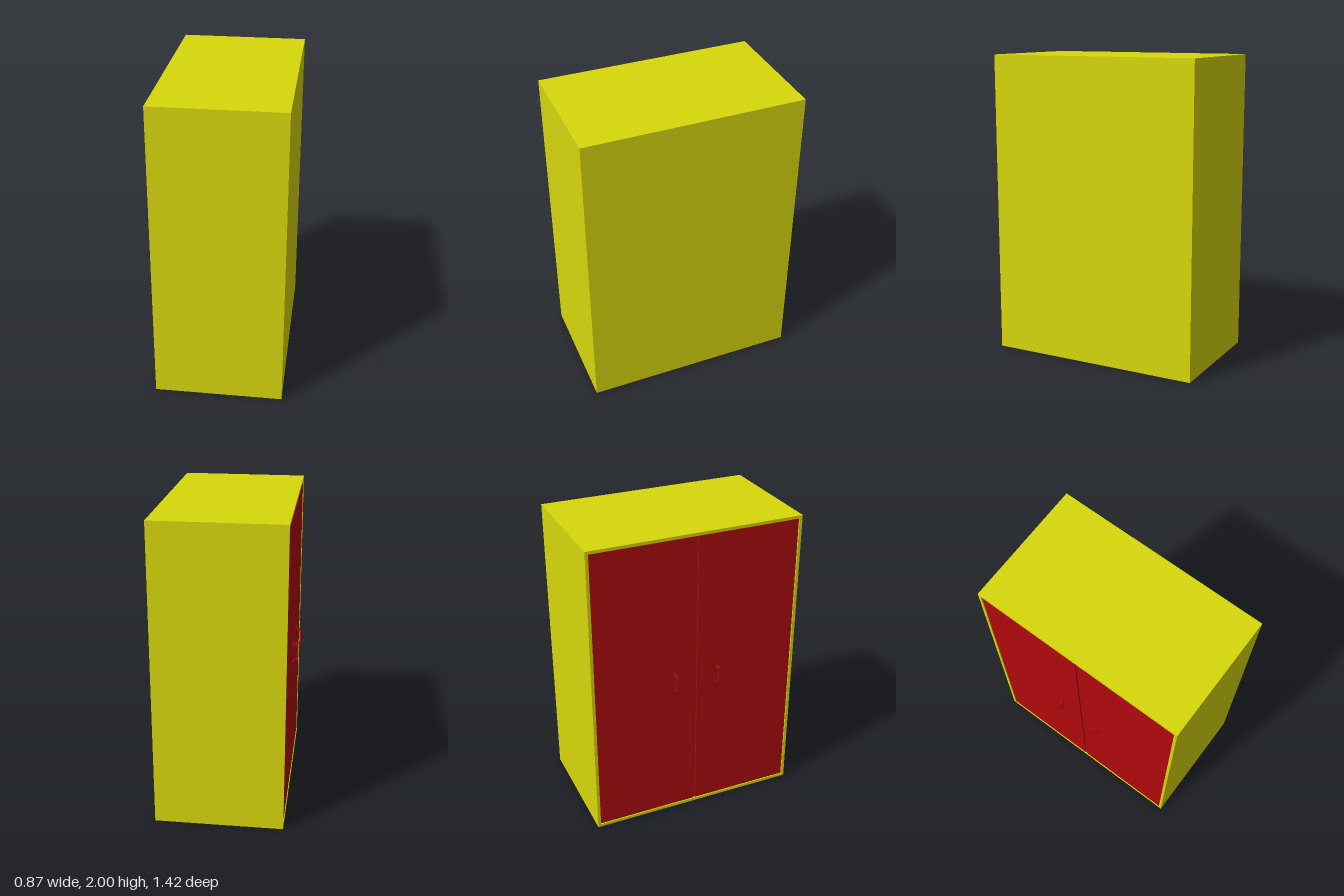
import * as THREE from 'three';

const yellow = new THREE.MeshStandardMaterial({ color: 0xd8d80c });
const red = new THREE.MeshStandardMaterial({ color: 0xb00a0e });

const X0 = -0.4, X1 = 0.436, H = 2, HALF = 0.712, T = 0.02;

// Box given by its min and max corners
function box(name, material, [x0, y0, z0], [x1, y1, z1]) {
  const mesh = new THREE.Mesh(new THREE.BoxGeometry(x1 - x0, y1 - y0, z1 - z0), material);
  mesh.position.set((x0 + x1) / 2, (y0 + y1) / 2, (z0 + z1) / 2);
  mesh.name = name;
  return mesh;
}

// Bracket handle: flat C profile with small feet lying on the door
function handle(z) {
  const outline = [
    [0, 0.072], [-0.01, 0.072], [-0.01, 0.06], [-0.032, 0.055], [-0.04, 0.047],
    [-0.04, -0.047], [-0.032, -0.055], [-0.014, -0.058], [-0.01, -0.072], [0, -0.072],
    [0, -0.056], [-0.012, -0.048], [-0.026, -0.046], [-0.03, -0.042],
    [-0.03, 0.042], [-0.026, 0.046], [-0.008, 0.05], [0, 0.05],
  ];
  const shape = new THREE.Shape(outline.map(([x, y]) => new THREE.Vector2(x, y)));
  const geometry = new THREE.ExtrudeGeometry(shape, { depth: 0.012, bevelEnabled: false });
  geometry.translate(0, 0, -0.006);
  const mesh = new THREE.Mesh(geometry, red);
  mesh.position.set(X0 + 0.002, 1.002, z);
  mesh.name = 'handle';
  return mesh;
}

export function createModel() {
  const group = new THREE.Group();
  group.name = 'wardrobe';

  // Carcass, open toward -x
  const carcass = new THREE.Group();
  carcass.name = 'carcass';
  carcass.add(
    box('bottomPanel', yellow, [X0, 0, -HALF], [X1, T, HALF]),
    box('topPanel', yellow, [X0, H - T, -HALF], [X1, H, HALF]),
    box('backPanel', yellow, [X1 - T, T, -HALF], [X1, H - T, HALF]),
  );
  for (const s of [-1, 1]) {
    const a = s * HALF, b = s * (HALF - T);
    carcass.add(box('sidePanel', yellow,
      [X0, T, Math.min(a, b)], [X1 - T, H - T, Math.max(a, b)]));
  }
  group.add(carcass);

  // Pair of doors, with a strip closing the gap between them
  const inner = HALF - T - 0.003, gap = 0.006;
  for (const [name, z0, z1, zHandle] of [
    ['rightDoor', -inner, -gap, -0.15],
    ['leftDoor', gap, inner, 0.145],
  ]) {
    const door = new THREE.Group();
    door.name = name;
    door.add(
      box('doorPanel', red, [X0 + 0.004, T + 0.003, z0], [X0 + 0.024, H - T - 0.003, z1]),
      handle(zHandle),
    );
    group.add(door);
  }
  group.add(box('centreStrip', red, [X0 + 0.014, T + 0.003, -0.015], [X0 + 0.03, H - T - 0.003, 0.015]));

  return group;
}
